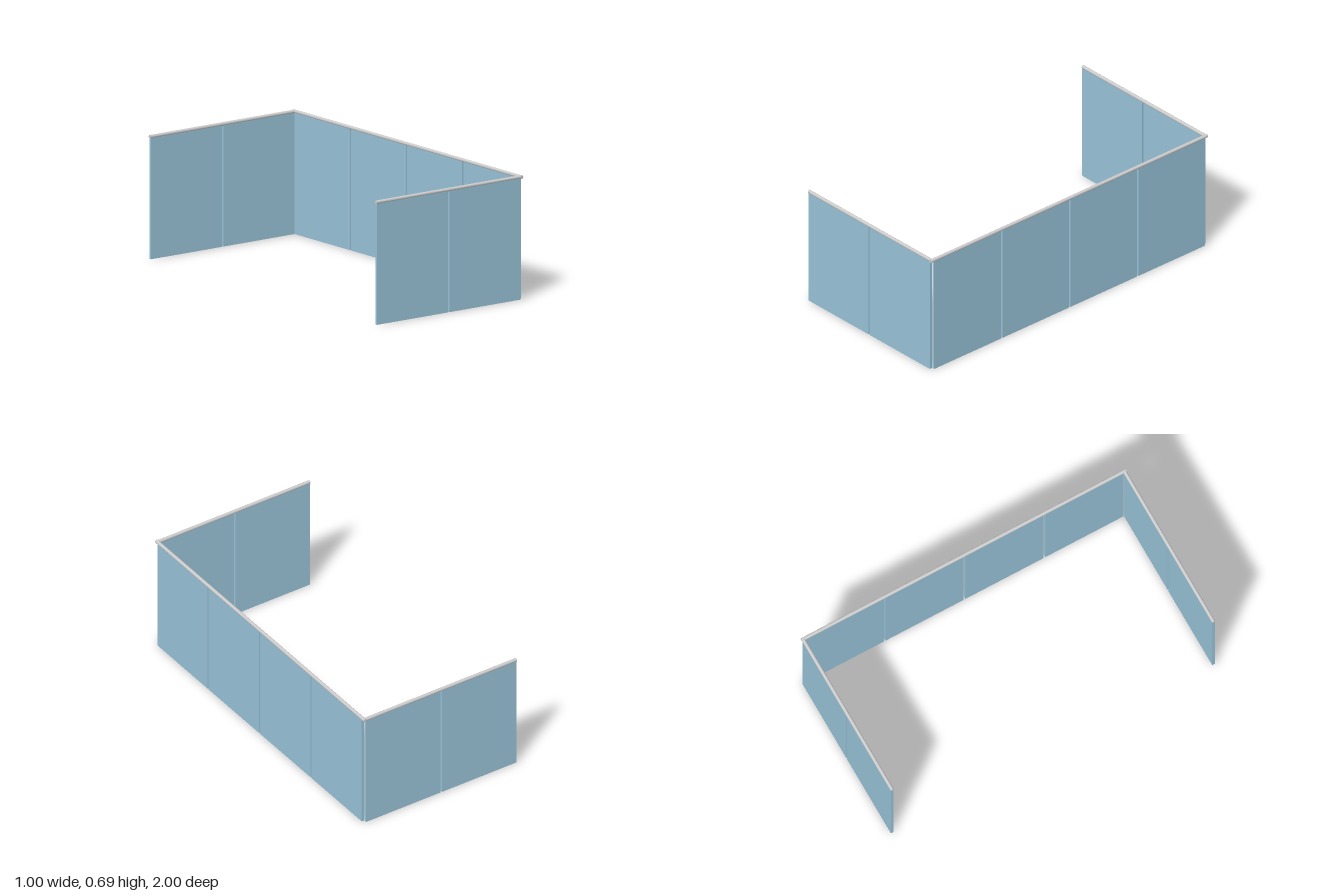
import * as THREE from 'three';

const glass = new THREE.MeshStandardMaterial({ color: 0x99c4d9 });
const metal = new THREE.MeshStandardMaterial({ color: 0xcccccc });

const HEIGHT = 0.672;   // panel height, top edge seated in the rail
const THICK = 0.016;    // panel thickness
const GAP = 0.01;       // gap between neighbouring panels
const RAIL_R = 0.01;
const RAIL_Y = 0.676;

// A straight run along local x: evenly spaced panels under a round handrail
function railingRun(name, panelFrom, panelTo, count, railFrom, railTo) {
  const run = new THREE.Group();
  run.name = name;
  const width = (panelTo - panelFrom - GAP * (count - 1)) / count;
  for (let i = 0; i < count; i++) {
    const panel = new THREE.Mesh(new THREE.BoxGeometry(width, HEIGHT, THICK), glass);
    panel.name = 'glassPanel';
    panel.position.set(panelFrom + width / 2 + i * (width + GAP), HEIGHT / 2, 0);
    run.add(panel);
  }
  const rail = new THREE.Mesh(
    new THREE.CylinderGeometry(RAIL_R, RAIL_R, railTo - railFrom, 24), metal);
  rail.name = 'handrail';
  rail.rotation.z = Math.PI / 2;
  rail.position.set((railFrom + railTo) / 2, RAIL_Y, 0);
  run.add(rail);
  return run;
}

export function createModel() {
  const model = new THREE.Group();
  model.name = 'glassRailing';

  // Short front and back runs, stopping short of the open corner
  for (const [name, z] of [['frontRun', 0.99], ['backRun', -0.99]]) {
    const run = railingRun(name, -0.497, 0.481, 2, -0.5, 0.49);
    run.position.z = z;
    model.add(run);
  }

  // Long run down the left side
  const side = railingRun('sideRun', -0.98, 0.98, 4, -1, 1);
  side.rotation.y = Math.PI / 2;
  side.position.x = 0.489;
  model.add(side);

  return model;
}
